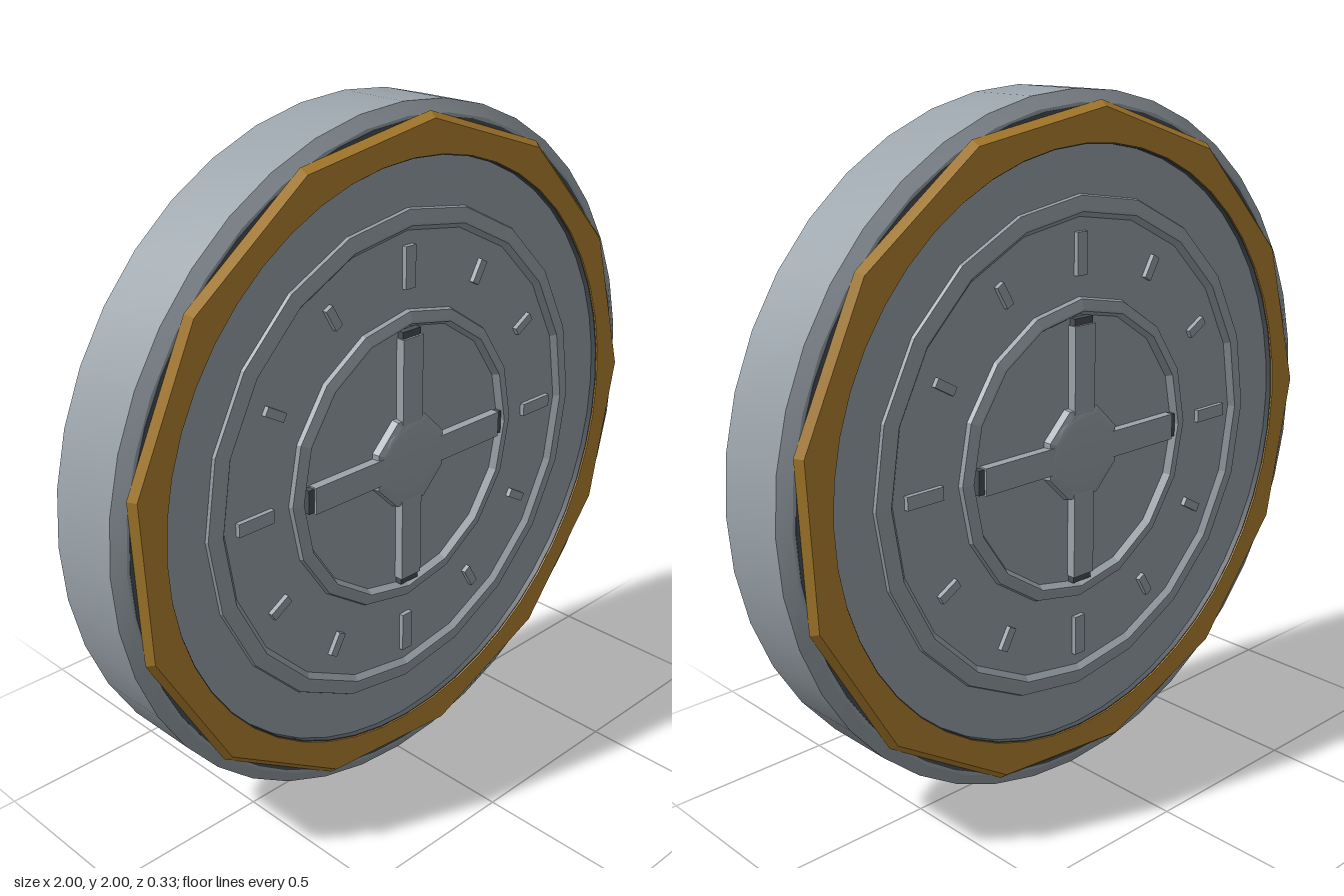
import * as THREE from 'three';
import { toCreasedNormals } from 'three/addons/utils/BufferGeometryUtils.js';

const steel = new THREE.MeshStandardMaterial({ color: 0x9ca5ac });
steel.name = 'steel';
const gold = new THREE.MeshStandardMaterial({ color: 0xb5852f });
gold.name = 'gold';
const dark = new THREE.MeshStandardMaterial({ color: 0x4b5157 });
dark.name = 'dark steel';

function add(group, name, geometry, material) {
  const mesh = new THREE.Mesh(geometry, material);
  mesh.name = name;
  group.add(mesh);
  return mesh;
}

// Turned profile of [radius, z] points, listed counterclockwise, around the z axis
function turned(profile, segments, crease) {
  const points = profile.map(([r, z]) => new THREE.Vector2(r, z));
  const g = new THREE.LatheGeometry(points, segments);
  g.rotateX(Math.PI / 2);
  return toCreasedNormals(g, crease);
}

// Raised ring with sloping sides
function ridge(inner, crest, outer, z, segments) {
  return turned([
    [outer, 0.12], [outer - 0.008, z - 0.008], [crest, z],
    [crest - 0.006, z], [inner, 0.12],
  ], segments, 0.05);
}

// Faceted outer outline with a round hole; outer wall flares towards the base
function goldRing() {
  const shape = new THREE.Shape();
  const sides = 13;
  for (let i = 0; i < sides; i++) {
    const a = 1.49 + (i / sides) * Math.PI * 2;
    const x = 0.955 * Math.cos(a), y = 0.955 * Math.sin(a);
    if (i === 0) shape.moveTo(x, y);
    else shape.lineTo(x, y);
  }
  shape.closePath();
  const hole = new THREE.Path();
  hole.absarc(0, 0, 0.86, 0, Math.PI * 2, true);
  shape.holes.push(hole);
  const g = new THREE.ExtrudeGeometry(shape, { depth: 0.02, bevelEnabled: false, curveSegments: 24 });
  const p = g.attributes.position;
  for (let i = 0; i < p.count; i++) {
    const r = Math.hypot(p.getX(i), p.getY(i));
    if (r > 0.9 && p.getZ(i) < 0.01) {
      p.setXY(i, p.getX(i) * 1.018, p.getY(i) * 1.018);
    }
  }
  g.translate(0, 0, 0.132);
  g.computeVertexNormals();
  return g;
}

function createFace() {
  const face = new THREE.Group();
  add(face, 'goldRing', goldRing(), gold);
  add(face, 'darkBezel', turned([
    [0.956, 0.12], [0.956, 0.1315], [0.87, 0.1315], [0.87, 0.147],
    [0.857, 0.147], [0.857, 0.12],
  ], 48, 0.3), dark);
  add(face, 'outerRidge', ridge(0.655, 0.685, 0.73, 0.146, 20), steel);
  add(face, 'innerRidge', ridge(0.39, 0.413, 0.448, 0.15, 16), steel);

  // Twelve dial markers, longer at the quarters
  for (let i = 0; i < 12; i++) {
    const long = i % 3 === 0;
    const g = new THREE.BoxGeometry(long ? 0.12 : 0.07, long ? 0.038 : 0.026, 0.024);
    const marker = add(face, 'marker', g, steel);
    const a = (i / 12) * Math.PI * 2;
    marker.position.set(0.565 * Math.cos(a), 0.565 * Math.sin(a), 0.132);
    marker.rotation.z = a;
  }

  // Four spokes with dark tips
  for (let i = 0; i < 4; i++) {
    const spoke = new THREE.Group();
    spoke.name = 'spoke';
    add(spoke, 'spokeBar', new THREE.BoxGeometry(0.37, 0.078, 0.04), steel).position.set(0.185, 0, 0.137);
    add(spoke, 'spokeTip', new THREE.BoxGeometry(0.02, 0.07, 0.03), dark).position.set(0.38, 0, 0.135);
    spoke.rotation.z = (i * Math.PI) / 2;
    face.add(spoke);
  }

  // Octagonal hub base with a shallow dome
  add(face, 'hubBase', turned([
    [0.145, 0.12], [0.14, 0.152], [0.12, 0.158], [0, 0.158],
  ], 8, 0.1), steel).rotation.z = Math.PI / 8;
  const dome = new THREE.SphereGeometry(0.125, 24, 8, 0, Math.PI * 2, 0, Math.PI / 2);
  dome.rotateX(Math.PI / 2);
  dome.scale(1, 1, 0.12);
  add(face, 'hubDome', dome, steel).position.z = 0.152;
  return face;
}

export function createModel() {
  const model = new THREE.Group();
  const disc = new THREE.Group();
  disc.name = 'disc';
  disc.position.y = 1;
  model.add(disc);

  // Thick wheel body with chamfered edges
  add(disc, 'body', turned([
    [0, -0.13], [0.965, -0.13], [1, -0.11], [1, 0.11], [0.965, 0.13], [0, 0.13],
  ], 40, 0.3), steel);

  // Matching decoration on both sides
  const front = createFace();
  front.name = 'frontFace';
  const back = createFace();
  back.name = 'backFace';
  back.rotation.y = Math.PI;
  disc.add(front, back);
  return model;
}
